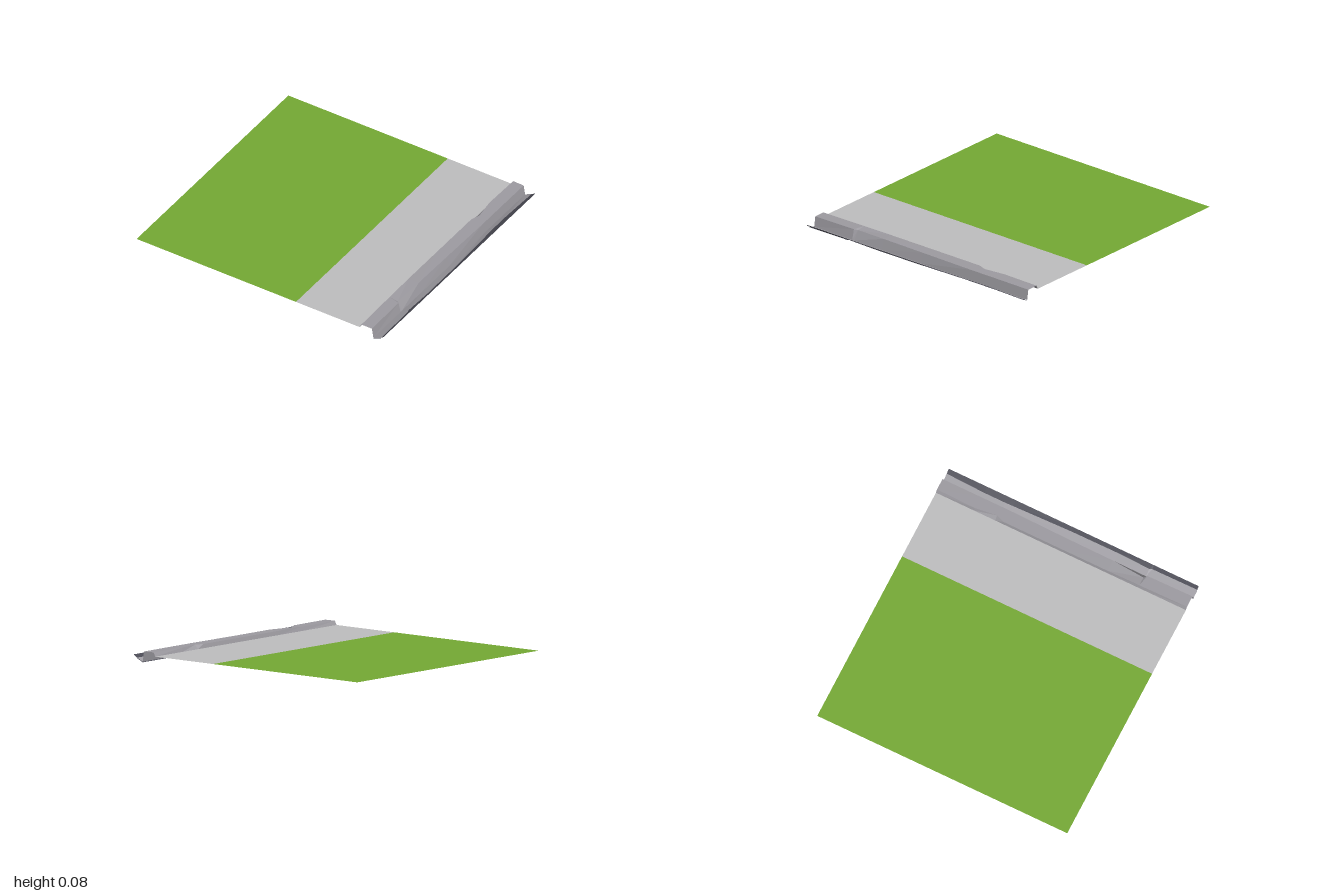
import * as THREE from 'three';

const material = (name, color) =>
  new THREE.MeshStandardMaterial({ name, color, side: THREE.DoubleSide });

// Stations along the length, with the worn edges of the kerb at each one
const Z = [-0.95, -0.66, -0.5, -0.44, 0, 0.35, 0.59, 0.61, 0.95];
const bevelX = [0.82, 0.815, 0.835, 0.812, 0.812, 0.812, 0.815, 0.815, 0.82];
const edgeX = [0.905, 0.905, 0.905, 0.905, 0.898, 0.895, 0.88, 0.9, 0.905];
const edgeY = [0.076, 0.077, 0.077, 0.077, 0.077, 0.078, 0.07, 0.077, 0.077];
const lipX = [0.968, 0.958, 0.958, 0.96, 0.973, 0.975, 0.968, 0.975, 0.978];

// Profile lines running along z
const line = (x, y) => Z.map((z, i) => [
  Array.isArray(x) ? x[i] : x,
  Array.isArray(y) ? y[i] : y,
  z,
]);

// Faceted strip between two lines, facing up when a lies at lower x than b
function strip(name, mat, a, b) {
  const p = [];
  for (let i = 0; i < a.length - 1; i++) {
    p.push(...a[i], ...a[i + 1], ...b[i + 1]);
    p.push(...a[i], ...b[i + 1], ...b[i]);
  }
  const geo = new THREE.BufferGeometry();
  geo.setAttribute('position', new THREE.Float32BufferAttribute(p, 3));
  geo.computeVertexNormals();
  const mesh = new THREE.Mesh(geo, mat);
  mesh.name = name;
  return mesh;
}

// Flat ground panel between two x positions
function panel(name, mat, x0, x1) {
  const geo = new THREE.PlaneGeometry(x1 - x0, 1.9).rotateX(-Math.PI / 2);
  const mesh = new THREE.Mesh(geo, mat);
  mesh.position.set((x0 + x1) / 2, 0.05, 0);
  mesh.name = name;
  return mesh;
}

export function createModel() {
  const grass = material('grass green', 0x74a833);
  const paving = material('paving grey', 0xbdbdbe);
  const stone = material('kerb stone', 0x9c9aa0);
  const dark = material('dark gutter', 0x4a4a54);

  const inner = line(0.805, 0.05);
  const bevel = line(bevelX, 0.078);
  const edge = line(edgeX, edgeY);
  const foot = line(0.917, 0.005);
  const lip = line(lipX, 0.028);
  const outer = line(1, 0.047);

  const group = new THREE.Group();
  group.name = 'roadside';
  group.add(
    panel('lawn', grass, -1, 0.29),
    panel('pavement', paving, 0.29, 0.805),
    // Kerb
    strip('kerbBevel', stone, inner, bevel),
    strip('kerbTop', stone, bevel, edge),
    strip('kerbFace', stone, edge, foot),
    // Gutter with its dark lip and underside
    strip('gutter', stone, foot, lip),
    strip('gutterLip', dark, lip, outer),
    strip('gutterUnderside', dark, line(lipX, 0.024), line(0.917, 0)),
  );
  return group;
}
